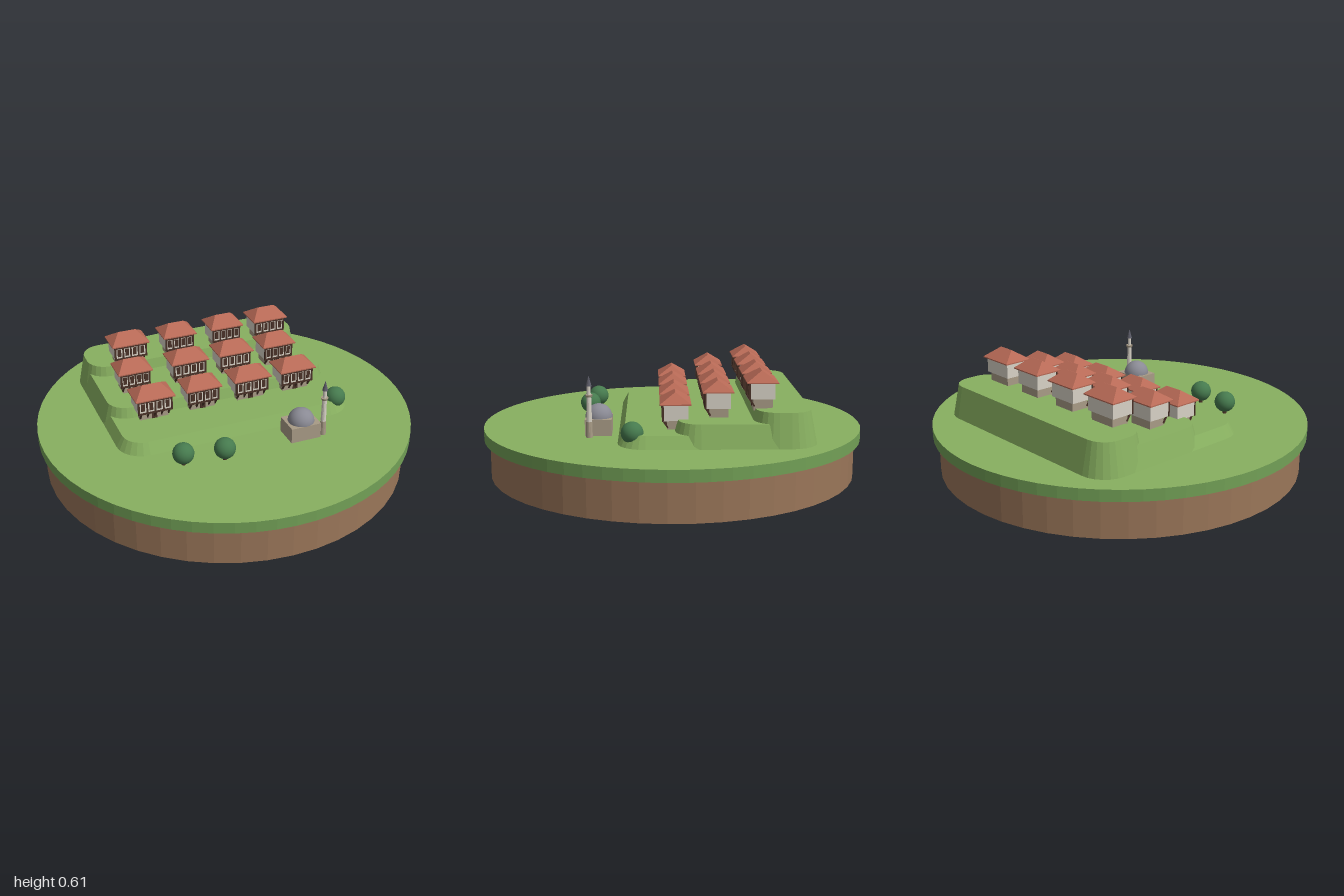
import * as THREE from 'three';

const mat = (name, color) => {
  const m = new THREE.MeshStandardMaterial({ color });
  m.name = name;
  m.flatShading = true;
  return m;
};

export function createModel() {
  const grass = mat('grass', 0x88b060), rim = mat('grass rim', 0x72a056), soil = mat('soil', 0x9a7659);
  const tile = mat('roof tile', 0xb86a56), plaster = mat('plaster', 0xd8d2c6), stone = mat('stone', 0xa89b86);
  const timber = mat('timber', 0x4a3228), lead = mat('lead', 0x8a8a94), spireGrey = mat('spire grey', 0x5c5c68);
  const leaf = mat('leaf', 0x467a4e);
  for (const m of [lead, leaf]) m.flatShading = false;

  const root = new THREE.Group();
  root.name = 'hillsideVillage';

  const add = (parent, name, geo, material, x = 0, y = 0, z = 0) => {
    const m = new THREE.Mesh(geo, material);
    m.name = name;
    m.position.set(x, y, z);
    parent.add(m);
    return m;
  };
  const box = (parent, name, material, w, h, d, x, y, z) =>
    add(parent, name, new THREE.BoxGeometry(w, h, d), material, x, y, z);
  const cyl = (parent, name, material, rTop, rBottom, y0, y1, x, z, n = 12) =>
    add(parent, name, new THREE.CylinderGeometry(rTop, rBottom, y1 - y0, n), material, x, (y0 + y1) / 2, z);

  // Walls between two rings of [x, z] points, closed on top
  function loft(low, high, y0, y1) {
    const p = [], n = low.length;
    const cx = high.reduce((s, q) => s + q[0], 0) / n, cz = high.reduce((s, q) => s + q[1], 0) / n;
    for (let i = 0; i < n; i++) {
      const j = (i + 1) % n, [a, b, c, d] = [low[i], low[j], high[i], high[j]];
      p.push(a[0], y0, a[1], c[0], y1, c[1], d[0], y1, d[1]);
      p.push(a[0], y0, a[1], d[0], y1, d[1], b[0], y0, b[1]);
      p.push(cx, y1, cz, d[0], y1, d[1], c[0], y1, c[1]);
    }
    const g = new THREE.BufferGeometry();
    g.setAttribute('position', new THREE.Float32BufferAttribute(p, 3));
    g.computeVertexNormals();
    return g;
  }
  function roundedRect(x, z0, z1, r, steps = 6) {
    const pts = [];
    const corners = [[x - r, z1 - r], [-x + r, z1 - r], [-x + r, z0 + r], [x - r, z0 + r]];
    corners.forEach(([cx, cz], k) => {
      for (let i = 0; i <= steps; i++) {
        const a = (k + i / steps) * Math.PI / 2;
        pts.push([cx + r * Math.cos(a), cz + r * Math.sin(a)]);
      }
    });
    return pts;
  }
  const rect = (w, d) => [[w / 2, d / 2], [-w / 2, d / 2], [-w / 2, -d / 2], [w / 2, -d / 2]];

  // Round base
  cyl(root, 'soilBase', soil, 0.97, 0.97, 0, 0.2, 0, 0, 48);
  add(root, 'grassDisc', new THREE.CylinderGeometry(1, 1, 0.06, 64), [rim, grass, rim], 0, 0.23, 0);

  // Everything on the slope is turned with the hill
  const hill = new THREE.Group();
  hill.name = 'hill';
  hill.rotation.y = -0.349;
  root.add(hill);

  // Three terraces sharing the same back wall
  const levels = [0.32, 0.375, 0.43];
  [0.28, 0.015, -0.36].forEach((front, i) => {
    const s = 0.035;
    add(hill, 'terrace' + (i + 1), loft(roundedRect(0.65, -0.7, front, 0.14),
      roundedRect(0.65 - s, -0.7 + s, front - s, 0.14 - s), 0.255, levels[i]), grass);
  });

  // House: stone ground floor, jettied upper floor with timber front, hipped roof
  function house(w, x, y, z) {
    const h = new THREE.Group();
    h.name = 'house';
    h.position.set(x, y, z);
    hill.add(h);
    const d = 0.154, uw = w - 0.03, ud = d - 0.03, front = ud / 2;
    box(h, 'groundFloor', stone, w - 0.06, 0.06, d - 0.06, 0, 0.02, -0.005);
    box(h, 'upperFloor', plaster, uw, 0.082, ud, 0, 0.087, 0);
    box(h, 'sillBeam', timber, uw + 0.004, 0.01, 0.008, 0, 0.049, front);
    box(h, 'topBeam', timber, uw + 0.004, 0.014, 0.008, 0, 0.118, front);
    for (let i = 0; i < 5; i++) {
      const px = (i / 4 - 0.5) * (uw - 0.006);
      box(h, 'post', timber, 0.009, 0.075, 0.009, px, 0.085, front);
      const strut = box(h, 'bracket', timber, 0.008, 0.046, 0.008, px * 0.86, 0.029, front - 0.012);
      strut.rotation.x = 0.6;
    }
    for (let i = 0; i < 4; i++) {
      const px = ((i + 0.5) / 4 - 0.5) * (uw - 0.006);
      box(h, 'window', timber, 0.02, 0.042, 0.005, px, 0.085, front);
    }
    box(h, 'door', timber, 0.028, 0.04, 0.006, 0, 0.02, d / 2 - 0.036);
    box(h, 'eaves', tile, w, 0.006, d, 0, 0.128, 0);
    add(h, 'roof', loft(rect(w, d), rect(w * 0.46, 0.002), 0.131, 0.182), tile);
  }
  const rows = [
    [0, -0.006, [[-0.406, 0.215], [-0.137, 0.2], [0.14, 0.215], [0.407, 0.21]]],
    [1, -0.216, [[-0.443, 0.19], [-0.135, 0.213], [0.132, 0.203], [0.39, 0.195]]],
    [2, -0.427, [[-0.4, 0.21], [-0.116, 0.192], [0.164, 0.192], [0.43, 0.208]]],
  ];
  for (const [level, z, list] of rows) for (const [x, w] of list) house(w, x, levels[level], z);

  // Domed hall
  box(hill, 'hall', stone, 0.165, 0.085, 0.135, 0.274, 0.3, 0.379);
  add(hill, 'dome', new THREE.SphereGeometry(0.069, 24, 10, 0, Math.PI * 2, 0, Math.PI / 2), lead, 0.274, 0.342, 0.379);

  // Tower beside the hall
  const tx = 0.381, tz = 0.422;
  cyl(hill, 'towerFoot', stone, 0.015, 0.017, 0.26, 0.34, tx, tz);
  cyl(hill, 'towerShaft', plaster, 0.012, 0.014, 0.34, 0.465, tx, tz);
  cyl(hill, 'towerBalcony', stone, 0.02, 0.016, 0.465, 0.477, tx, tz);
  cyl(hill, 'towerTop', plaster, 0.01, 0.01, 0.477, 0.52, tx, tz);
  cyl(hill, 'towerSpire', spireGrey, 0, 0.015, 0.52, 0.575, tx, tz);

  // Round trees
  for (const [x, z] of [[-0.503, 0.257], [-0.32, 0.36], [0.461, 0.386]]) {
    cyl(root, 'trunk', timber, 0.01, 0.012, 0.255, 0.3, x, z, 8);
    add(root, 'treeCrown', new THREE.SphereGeometry(0.055, 20, 14), leaf, x, 0.325, z);
  }
  return root;
}
